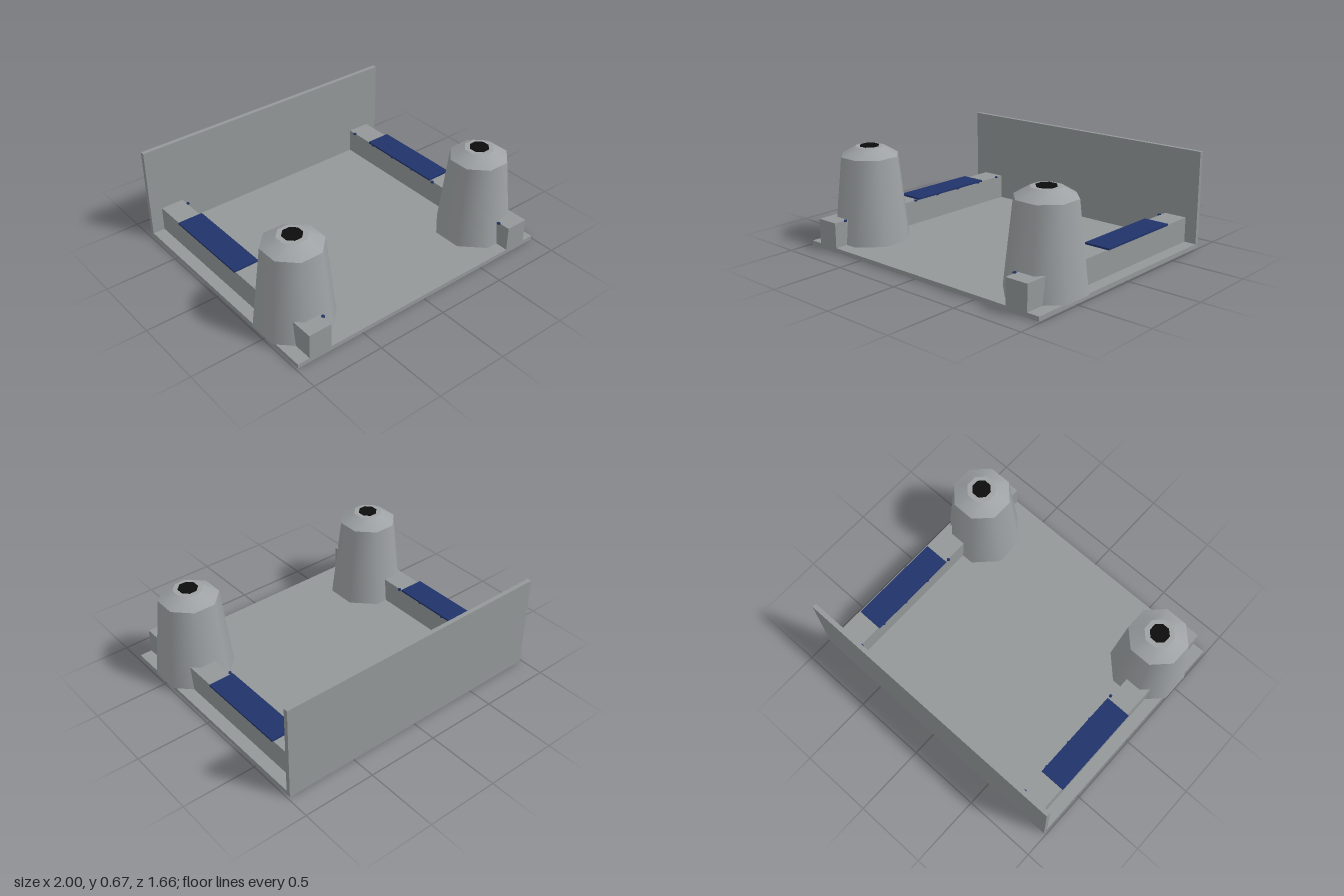
import * as THREE from 'three';

export function createModel() {
  const model = new THREE.Group();
  const mat = (name, color) => {
    const m = new THREE.MeshStandardMaterial({ color });
    m.name = name;
    return m;
  };
  const panelGrey = mat('panel grey', 0x949898);
  const towerGrey = mat('tower grey', 0x9ea2a4);
  const blue = mat('dark blue', 0x20336a);
  const black = mat('black', 0x0c0c0c);

  const add = (name, geometry, material, x, y, z, parent = model) => {
    const mesh = new THREE.Mesh(geometry, material);
    mesh.name = name;
    mesh.position.set(x, y, z);
    parent.add(mesh);
    return mesh;
  };

  // Octagonal frustum with flats facing the axes, sized by half-width across flats
  const octagon = (top, bottom, height, open = false) => {
    const k = 1 / Math.cos(Math.PI / 8);
    return new THREE.CylinderGeometry(top * k, bottom * k, height, 8, 1, open).rotateY(Math.PI / 8);
  };

  // Floor and rear wall
  add('floor', new THREE.BoxGeometry(1.97, 0.03, 1.66), panelGrey, 0, 0.015, 0);
  add('rearWall', new THREE.BoxGeometry(1.97, 0.66, 0.03), panelGrey, 0, 0.33, -0.815);

  for (const [side, s] of [['left', 1], ['right', -1]]) {
    // Side rail with cover plate
    add(side + 'Rail', new THREE.BoxGeometry(0.16, 0.17, 1.63), panelGrey, s * 0.82, 0.115, 0.015);
    add(side + 'CoverPlate', new THREE.BoxGeometry(0.18, 0.012, 0.655), blue, s * 0.82, 0.206, -0.2425);

    // Row of small bolts along the inner edge of the rail
    for (let i = 0; i < 8; i++) {
      add(side + 'Bolt', new THREE.CylinderGeometry(0.011, 0.011, 0.01, 8), blue,
        s * 0.735, 0.201, -0.737 + i * 0.212);
    }

    // Tapered tower: body, sloping shoulder and black cap
    const tower = new THREE.Group();
    tower.name = side + 'Tower';
    tower.position.set(s * 0.757, 0, 0.497);
    add('towerBody', octagon(0.183, 0.243, 0.57, true), towerGrey, 0, 0.315, 0, tower);
    add('towerShoulder', octagon(0.092, 0.183, 0.06), towerGrey, 0, 0.63, 0, tower);
    add('towerCap', octagon(0.06, 0.06, 0.007), black, 0, 0.6635, 0, tower);
    model.add(tower);
  }
  return model;
}
